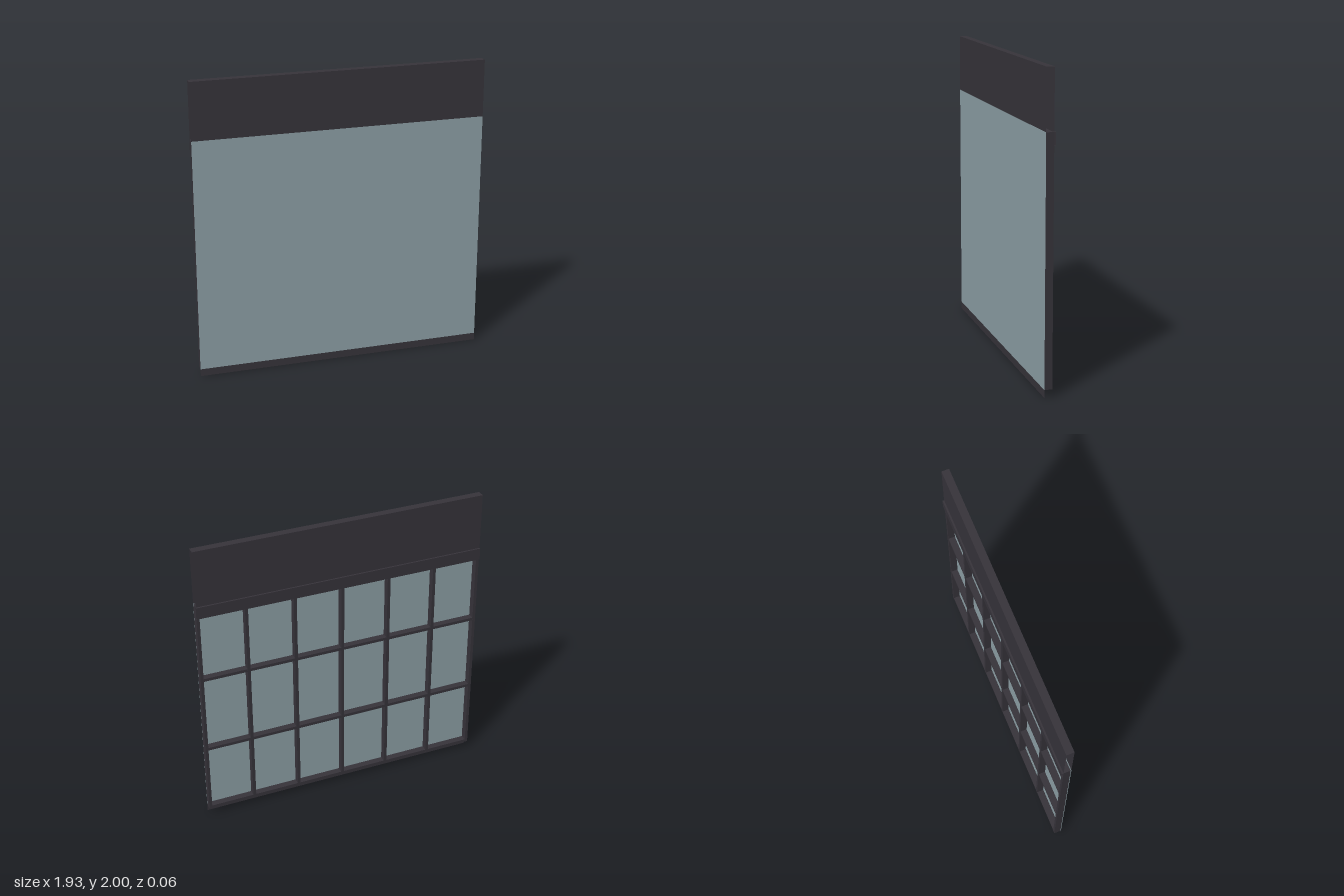
import * as THREE from 'three';

const W = 1.934, HALF = W / 2;
const FRONT = 0.03, BACK = -0.02, LEDGE = -0.031; // z planes
const SILL = 0.05, HEAD = 1.62, TOP = 2;          // y levels
const BAR = 0.02;

export function createModel() {
  const group = new THREE.Group();
  const dark = new THREE.MeshStandardMaterial({ color: 0x37343b, side: THREE.DoubleSide });
  dark.name = 'dark metal';
  const glass = new THREE.MeshStandardMaterial({ color: 0x8fa2a8, side: THREE.DoubleSide });
  glass.name = 'grey blue glass';

  const add = (name, geometry, material) => {
    const mesh = new THREE.Mesh(geometry, material);
    mesh.name = name;
    group.add(mesh);
    return mesh;
  };

  // Upright sheet across the full width; facing +1 is front, -1 is back
  const sheet = (name, y0, y1, z, facing, material) => {
    const g = new THREE.PlaneGeometry(W, y1 - y0);
    if (facing < 0) g.rotateY(Math.PI);
    add(name, g, material).position.set(0, (y0 + y1) / 2, z);
  };

  // Level sheet across the full width; facing +1 is up, -1 is down
  const shelf = (name, y, z0, z1, facing) => {
    const g = new THREE.PlaneGeometry(W, Math.abs(z1 - z0));
    g.rotateX(-facing * Math.PI / 2);
    add(name, g, dark).position.set(0, y, (z0 + z1) / 2);
  };

  // Front skin: base strip, glazing and upper panel
  sheet('baseStrip', 0, SILL, FRONT, 1, dark);
  sheet('glazing', SILL, HEAD, FRONT, 1, glass);
  sheet('upperPanelFront', HEAD, TOP, FRONT, 1, dark);

  // Upper panel back and cap, open at the ends
  sheet('upperPanelBack', HEAD, TOP, BACK, -1, dark);
  shelf('upperPanelCap', TOP, BACK, FRONT, 1);

  // Projecting ledge behind the head of the window, open at the ends
  sheet('ledgeBack', 1.54, HEAD, LEDGE, -1, dark);
  shelf('ledgeTop', HEAD, LEDGE, BACK, 1);
  shelf('ledgeUnderside', 1.54, LEDGE, BACK, -1);

  // Window bars behind the glass
  const depth = 0.026 - BACK, zBar = (0.026 + BACK) / 2;
  const bar = (name, x, y, w, h) =>
    add(name, new THREE.BoxGeometry(w, h, depth), dark).position.set(x, y, zBar);

  for (let i = 0; i <= 6; i++) {
    const x = THREE.MathUtils.clamp(-HALF + i * W / 6, -HALF + BAR / 2, HALF - BAR / 2);
    bar('verticalBar', x, (SILL + HEAD) / 2, BAR, HEAD - SILL);
  }
  // Rails run between the outer posts, slightly shallower than the posts
  for (const y of [SILL + BAR / 2, 0.54, 1.08, HEAD - BAR / 2 - 0.002]) {
    const g = new THREE.BoxGeometry(W - BAR, BAR, depth - 0.002);
    add('horizontalRail', g, dark).position.set(0, y, zBar);
  }
  return group;
}
